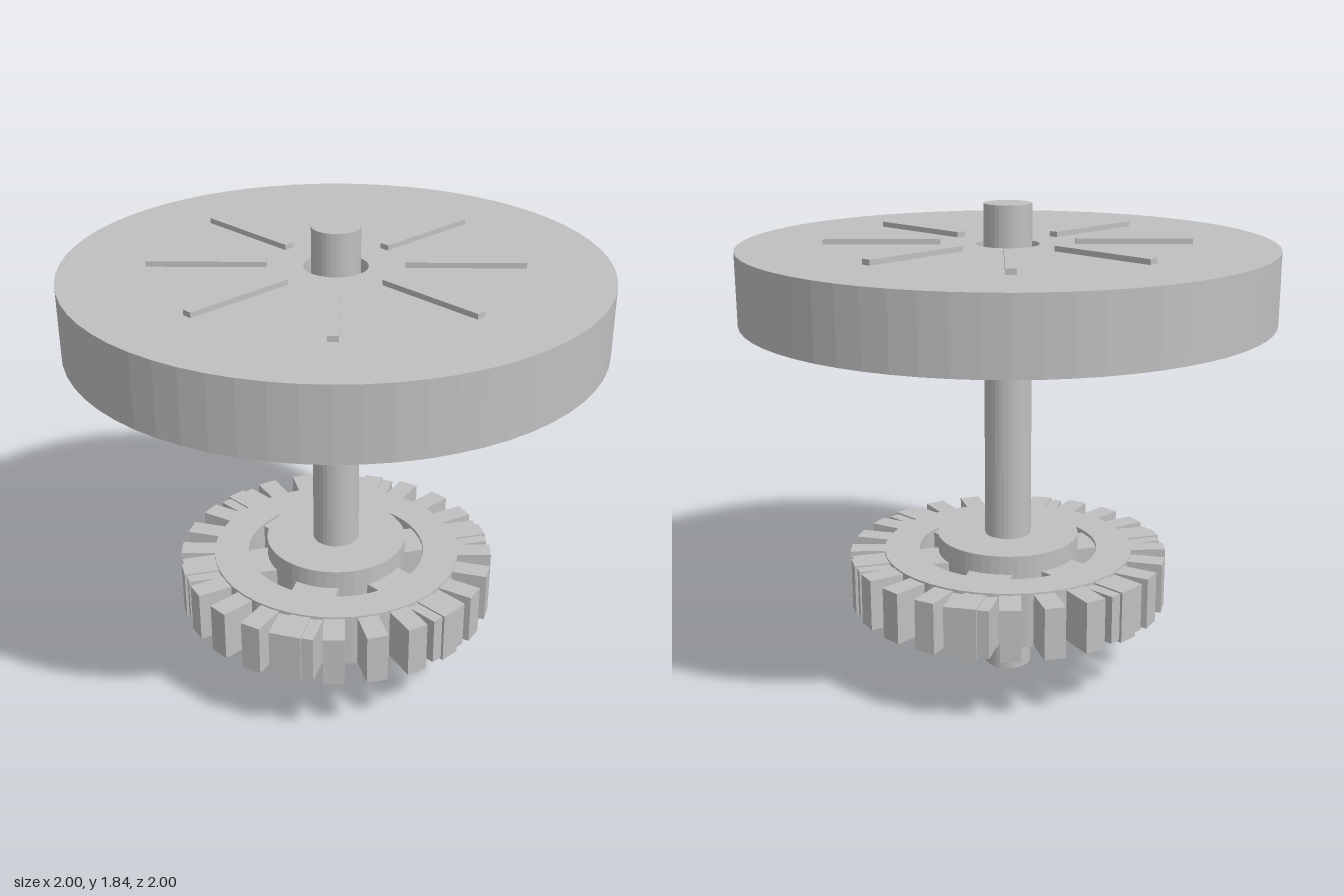
import * as THREE from 'three';

const steel = new THREE.MeshStandardMaterial({ color: 0xc0c0c0, flatShading: true });
steel.name = 'steel grey';

function add(parent, name, geometry, y = 0) {
  const mesh = new THREE.Mesh(geometry, steel);
  mesh.name = name;
  mesh.position.y = y;
  parent.add(mesh);
  return mesh;
}

// Solid cylinder between two heights
function rod(r, y0, y1, sides) {
  return new THREE.CylinderGeometry(r, r, y1 - y0, sides).translate(0, (y0 + y1) / 2, 0);
}

// Flat ring of rectangular section between two heights
function ring(inner, outer, y0, y1, sides) {
  const profile = [[inner, y0], [outer, y0], [outer, y1], [inner, y1], [inner, y0]];
  return new THREE.LatheGeometry(profile.map(([r, y]) => new THREE.Vector2(r, y)), sides);
}

// Repeats a radial bar evenly around the axis, starting at +x
function radialBars(parent, name, count, r0, r1, y0, y1, width) {
  const bar = new THREE.BoxGeometry(r1 - r0, y1 - y0, width)
    .translate((r0 + r1) / 2, (y0 + y1) / 2, 0);
  for (let i = 0; i < count; i++) {
    add(parent, name, bar).rotation.y = (i / count) * Math.PI * 2;
  }
}

export function createModel() {
  const model = new THREE.Group();
  model.name = 'geared turntable';

  // Central shaft
  add(model, 'shaft', rod(0.09, 0, 1.84, 32));

  // Heavy upper disc with a clearance hole and raised ribs
  const wheel = new THREE.Group();
  wheel.name = 'upperWheel';
  add(wheel, 'disc', ring(0.118, 1, 1.42, 1.69, 64));
  radialBars(wheel, 'rib', 8, 0.25, 0.685, 1.68, 1.71, 0.038);
  model.add(wheel);

  // Lower gear: hub, spokes, rim and teeth
  const gear = new THREE.Group();
  gear.name = 'gear';
  add(gear, 'hub', rod(0.275, 0.22, 0.553, 48));
  add(gear, 'rim', ring(0.35, 0.487, 0.28, 0.493, 48));
  radialBars(gear, 'spoke', 6, 0.2, 0.61, 0.295, 0.48, 0.17);
  radialBars(gear, 'tooth', 24, 0.46, 0.62, 0.287, 0.486, 0.08);
  model.add(gear);

  return model;
}
